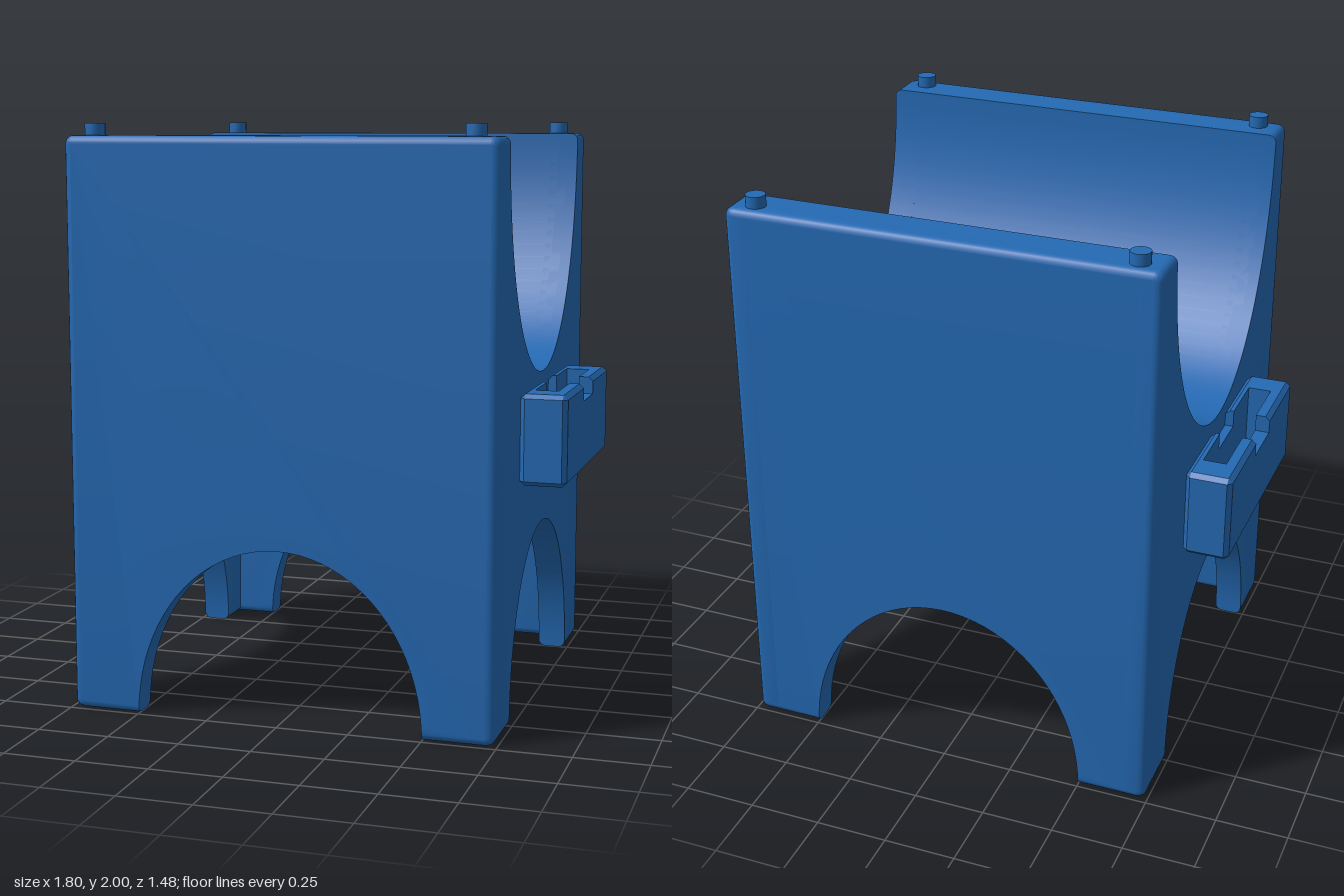
import * as THREE from 'three';
import { toCreasedNormals } from 'three/addons/utils/BufferGeometryUtils.js';

const HALF = 0.74, TOP = 1.96, WALL = 0.1, ROUND = 0.03, BEVEL = 0.025, CEILING = 1.0;
const ARCH = { y: 0, rx: 0.5, ry: 0.6 };
const TROUGH = { y: TOP, rx: 0.59, ry: 0.82 };

// points of an elliptical arc
function arc(cx, cy, rx, ry, a0, a1, n) {
  return Array.from({ length: n + 1 }, (_, i) => {
    const a = a0 + (a1 - a0) * i / n;
    return new THREE.Vector2(cx + rx * Math.cos(a), cy + ry * Math.sin(a));
  });
}
const trough = () => arc(0, TROUGH.y, TROUGH.rx, TROUGH.ry, 0, -Math.PI, 48);

function moveVertices(geometry, rule) {
  const p = geometry.attributes.position, v = new THREE.Vector3();
  for (let i = 0; i < p.count; i++) {
    rule(v.fromBufferAttribute(p, i));
    p.setXYZ(i, v.x, v.y, v.z);
  }
  geometry.computeVertexNormals();
  return geometry;
}

// keeps the cut-outs straight while the outer edges stay rounded
function snapTo(v, e, limit) {
  const d = Math.hypot(v.x / e.rx, (v.y - e.y) / e.ry);
  if (d > 0.9 && d < limit) {
    v.x /= d;
    v.y = e.y + (v.y - e.y) / d;
  }
}

// one wall with an arch below and, on the sides, the trough above
function wallGeometry(hasTrough) {
  const r = ROUND, k = HALF - r, q = Math.PI / 2;
  const points = [
    ...arc(k, r, r, r, -q, 0, 5),
    ...arc(k, TOP - r, r, r, 0, q, 5),
    ...(hasTrough ? trough() : []),
    ...arc(-k, TOP - r, r, r, q, 2 * q, 5),
    ...arc(-k, r, r, r, 2 * q, 3 * q, 5),
    ...arc(0, 0, ARCH.rx, ARCH.ry, Math.PI, 0, 40),
  ];
  const g = new THREE.ExtrudeGeometry(new THREE.Shape(points), {
    depth: WALL - 2 * BEVEL, bevelEnabled: true, bevelSize: BEVEL,
    bevelThickness: BEVEL, bevelOffset: -BEVEL, bevelSegments: 4,
  });
  moveVertices(g, v => {
    snapTo(v, ARCH, 1.12);
    if (hasTrough) snapTo(v, TROUGH, 1.1);
  });
  g.translate(0, 0, HALF - WALL + BEVEL);
  return toCreasedNormals(g, 0.5);
}

// solid cradle between the walls, curved above and flat below
function cradleGeometry() {
  const k = HALF - 0.04;
  const points = [
    new THREE.Vector2(-k, CEILING), new THREE.Vector2(k, CEILING),
    new THREE.Vector2(k, TOP), ...trough(), new THREE.Vector2(-k, TOP),
  ];
  const g = new THREE.ExtrudeGeometry(new THREE.Shape(points), { depth: 2 * k, bevelEnabled: false });
  g.translate(0, 0, -k);
  g.rotateY(Math.PI / 2);
  return toCreasedNormals(g, 0.5);
}

// side bracket: plan outlines stacked in layers, chamfered at its outer edges
const X0 = 0.74, X1 = 0.9, ZB = 0.4, C = 0.016, Y0 = 0.8, Y1 = 1.11;
const SLOT = { x0: 0.77, x1: 0.85, z: 0.29 }, NOTCH = { z: 0.09, y: 1.05 }, FLOOR = 0.86;

function layer(shape, y0, y1) {
  const g = new THREE.ExtrudeGeometry(shape, { depth: y1 - y0, steps: 4, bevelEnabled: false });
  g.rotateX(Math.PI / 2);
  g.translate(0, y1, 0);
  return moveVertices(g, v => {
    if (v.y > Y1 - 0.001 || v.y < Y0 + 0.001) {
      v.x = THREE.MathUtils.clamp(v.x, X0 + C, X1 - C);
      v.z = THREE.MathUtils.clamp(v.z, -ZB + C, ZB - C);
    }
  });
}
const polygon = list => list.map(([x, z]) => new THREE.Vector2(x, z));

function bracketGeometries() {
  const outline = polygon([
    [X0 + C, -ZB], [X1 - C, -ZB], [X1, -ZB + C], [X1, ZB - C],
    [X1 - C, ZB], [X0 + C, ZB], [X0, ZB - C], [X0, -ZB + C],
  ]);
  const ring = new THREE.Shape(outline);
  ring.holes.push(new THREE.Path(polygon([
    [SLOT.x0, -SLOT.z], [SLOT.x0, SLOT.z], [SLOT.x1, SLOT.z], [SLOT.x1, -SLOT.z],
  ])));
  const horn = s => new THREE.Shape(polygon([
    [X0, NOTCH.z * s], [SLOT.x0, NOTCH.z * s], [SLOT.x0, SLOT.z * s], [SLOT.x1, SLOT.z * s],
    [SLOT.x1, NOTCH.z * s], [X1, NOTCH.z * s], [X1, (ZB - C) * s], [X1 - C, ZB * s],
    [X0 + C, ZB * s], [X0, (ZB - C) * s],
  ]));
  return {
    bracketFloor: layer(new THREE.Shape(outline), Y0, FLOOR),
    bracketRing: layer(ring, FLOOR, NOTCH.y),
    bracketFrontTop: layer(horn(1), NOTCH.y, Y1),
    bracketBackTop: layer(horn(-1), NOTCH.y, Y1),
  };
}

export function createModel() {
  const model = new THREE.Group();
  model.name = 'cradleStand';
  const blue = new THREE.MeshStandardMaterial({ color: 0x2469b3 });
  blue.name = 'blue';

  const add = (name, geometry, parent = model) => {
    const mesh = new THREE.Mesh(geometry, blue);
    mesh.name = name;
    parent.add(mesh);
    return mesh;
  };

  // four arched walls
  const plain = wallGeometry(false), cut = wallGeometry(true);
  ['frontWall', 'leftWall', 'backWall', 'rightWall'].forEach((name, i) => {
    add(name, i % 2 ? cut : plain).rotation.y = i * Math.PI / 2;
  });
  add('cradle', cradleGeometry());

  // slotted brackets on both sides
  const parts = bracketGeometries();
  ['leftBracket', 'rightBracket'].forEach((name, i) => {
    const bracket = new THREE.Group();
    bracket.name = name;
    bracket.rotation.y = i * Math.PI;
    for (const part in parts) add(part, parts[part], bracket);
    model.add(bracket);
  });

  // locating pegs on the top rims
  const peg = toCreasedNormals(new THREE.CylinderGeometry(0.034, 0.034, 0.05, 16), 0.5);
  for (const x of [-0.65, 0.65]) {
    for (const z of [-0.68, 0.68]) add('peg', peg).position.set(x, 1.975, z);
  }
  return model;
}
